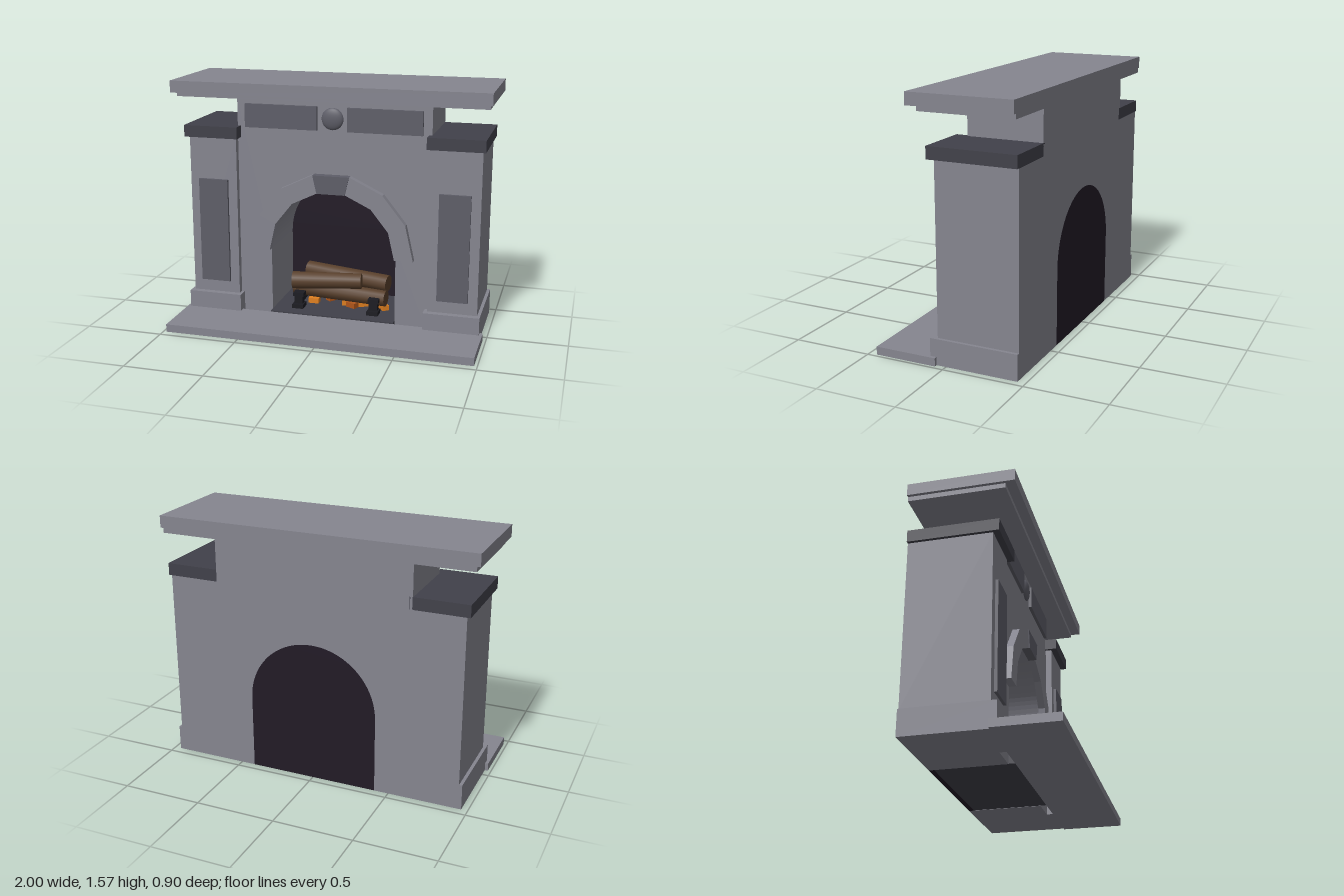
import * as THREE from 'three';

const BACK = -0.45, SPRING = 0.475, R_IN = 0.41, R_OUT = 0.53;

const paint = (color, extra = {}) => {
  const m = new THREE.MeshStandardMaterial(extra);
  m.color.set(color);
  return m;
};

export function createModel() {
  const root = new THREE.Group();
  const stone = paint(0x85858f), panel = paint(0x5e5e68), slate = paint(0x41414a);
  const soot = paint(0x221b26), iron = paint(0x1c1c22), wood = paint(0x59402c);
  const embers = [paint(0xe08020), paint(0xb0561a)];

  const add = (name, geo, mat, parent = root) => {
    const mesh = new THREE.Mesh(geo, mat);
    mesh.name = name;
    parent.add(mesh);
    return mesh;
  };
  // Box given by its lower and upper bounds on each axis
  const box = (name, x0, x1, y0, y1, z0, z1, mat, parent) => {
    const b = add(name, new THREE.BoxGeometry(x1 - x0, y1 - y0, z1 - z0), mat, parent);
    b.position.set((x0 + x1) / 2, (y0 + y1) / 2, (z0 + z1) / 2);
    return b;
  };
  const slab = (shape, z0, z1) => new THREE.ExtrudeGeometry(shape, {
    depth: z1 - z0, bevelEnabled: false, curveSegments: 24,
  }).translate(0, 0, z0);

  // Chimney breast with an arched opening right down to the ground
  const breast = new THREE.Shape();
  breast.moveTo(-0.625, 0);
  breast.lineTo(-R_IN, 0);
  breast.lineTo(-R_IN, SPRING);
  breast.absarc(0, SPRING, R_IN, Math.PI, 0, true);
  breast.lineTo(R_IN, 0);
  breast.lineTo(0.625, 0);
  breast.lineTo(0.625, 1.465);
  breast.lineTo(-0.625, 1.465);
  add('chimneyBreast', slab(breast, BACK, 0.02), stone);

  // Firebox back and floor
  const arch = new THREE.Shape();
  arch.moveTo(-R_IN, 0);
  arch.lineTo(R_IN, 0);
  arch.lineTo(R_IN, SPRING);
  arch.absarc(0, SPRING, R_IN, 0, Math.PI, false);
  add('fireboxBack', slab(arch, BACK, BACK + 0.03), soot);
  box('fireboxFloor', -R_IN, R_IN, 0.002, 0.058, BACK + 0.03, 0.06, slate);

  // Arch of seven wedge stones, the middle one being the keystone
  const archStones = new THREE.Group();
  archStones.name = 'archSurround';
  root.add(archStones);
  for (let i = 0; i < 7; i++) {
    const a = (i * Math.PI) / 7, b = ((i + 1) * Math.PI) / 7, key = i === 3;
    const pt = (r, t) => new THREE.Vector2(r * Math.cos(t), SPRING + r * Math.sin(t));
    const wedge = new THREE.Shape([pt(R_IN, a), pt(R_OUT, a), pt(R_OUT, b), pt(R_IN, b)]);
    add(key ? 'keystone' : 'archStone', slab(wedge, 0.02, key ? 0.073 : 0.065),
      key ? panel : stone, archStones);
  }

  // Hearth slab and mantel shelf
  box('hearth', -0.98, 0.98, 0, 0.05, 0.06, 0.45, stone);
  box('mantelMoulding', -0.98, 0.98, 1.465, 1.495, BACK, 0.14, stone);
  box('mantelShelf', -1, 1, 1.495, 1.57, BACK, 0.2, stone);

  // Pilasters, frieze panels and andirons, mirrored left and right
  for (const s of [1, -1]) {
    const side = new THREE.Group();
    side.name = s > 0 ? 'leftSide' : 'rightSide';
    root.add(side);
    const pair = (name, x0, x1, ...rest) =>
      box(name, Math.min(s * x0, s * x1), Math.max(s * x0, s * x1), ...rest, side);
    pair('pilasterBase', 0.605, 0.96, 0, 0.16, BACK, 0.1, stone);
    pair('pilaster', 0.625, 0.94, 0.16, 1.2, BACK, 0.06, stone);
    pair('pilasterPanel', 0.685, 0.88, 0.24, 0.925, 0.05, 0.078, panel);
    pair('pilasterCapital', 0.605, 0.96, 1.2, 1.275, BACK, 0.1, slate);
    pair('friezePanel', 0.097, 0.57, 1.27, 1.42, 0.01, 0.04, panel);
    pair('andironPost', 0.225, 0.28, 0.058, 0.14, -0.09, -0.045, iron);
    pair('andironCap', 0.218, 0.288, 0.135, 0.16, -0.1, -0.04, iron);
    pair('andironFoot', 0.215, 0.29, 0.058, 0.085, -0.1, -0.02, iron);
    pair('andironBar', 0.235, 0.27, 0.085, 0.11, -0.32, -0.08, iron);
  }

  // Flattened boss in the middle of the frieze
  const boss = add('friezeBoss', new THREE.SphereGeometry(0.07, 24, 16), panel);
  boss.position.set(0, 1.345, 0.022);
  boss.scale.z = 0.36;

  // Logs, each a slightly tapered cylinder between two points
  const log = (a, b, r0, r1) => {
    const p = new THREE.Vector3(...a), dir = new THREE.Vector3(...b).sub(p);
    const mesh = add('log', new THREE.CylinderGeometry(r1, r0, dir.length(), 14), wood);
    mesh.position.copy(p).addScaledVector(dir, 0.5);
    mesh.quaternion.setFromUnitVectors(new THREE.Vector3(0, 1, 0), dir.normalize());
  };
  log([-0.3, 0.235, -0.08], [0.155, 0.25, -0.13], 0.057, 0.05);
  log([-0.32, 0.15, -0.21], [0.32, 0.145, -0.13], 0.06, 0.052);
  log([-0.26, 0.245, -0.31], [0.32, 0.225, -0.2], 0.052, 0.056);

  // Glowing embers under the logs: x, z, size
  [[-0.18, -0.17, 0.035], [-0.08, -0.24, 0.03], [0.03, -0.19, 0.03], [0.09, -0.15, 0.036],
    [0.15, -0.19, 0.034], [0.2, -0.25, 0.03], [0.3, -0.16, 0.03]].forEach(([x, z, r], i) => {
    const e = add('ember', new THREE.BoxGeometry(r * 2, 0.035, r * 1.5), embers[i % 2]);
    e.position.set(x, 0.075, z);
    e.rotation.y = i * 0.9;
  });

  return root;
}
